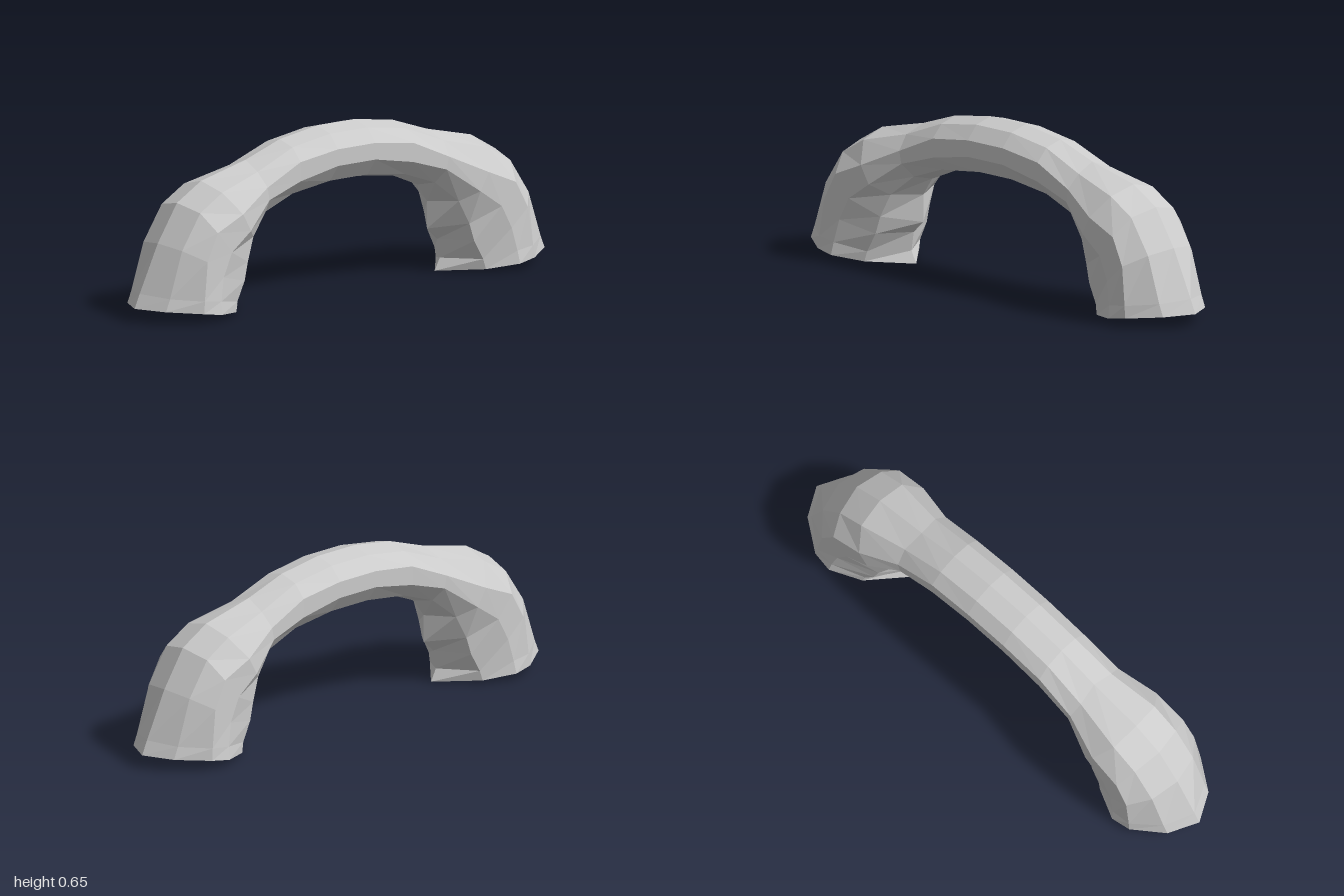
import * as THREE from 'three';

// Half cross-sections from the foot to mid-arch: [x, y, z] from the outer crest round to the inner crest.
const SECTIONS = [
  [[1, .055, 0], [.94, .052, .115], [.82, .042, .2], [.74, .03, .21], [.62, .015, .15], [.49, .002, 0]],
  [[.975, .11, 0], [.92, .1, .115], [.815, .09, .197], [.735, .08, .2], [.61, .055, .145], [.515, .05, 0]],
  [[.885, .295, 0], [.86, .28, .115], [.795, .24, .19], [.715, .17, .19], [.57, .13, .14], [.503, .125, 0]],
  [[.79, .44, 0], [.77, .415, .115], [.74, .345, .185], [.67, .26, .185], [.55, .2, .135], [.452, .172, 0]],
  [[.67, .51, 0], [.66, .48, .114], [.61, .4, .18], [.57, .33, .178], [.51, .29, .12], [.452, .28, 0]],
  [[.45, .562, 0], [.46, .53, .085], [.45, .475, .133], [.44, .425, .133], [.42, .37, .085], [.405, .35, 0]],
  [[.28, .62, 0], [.28, .6, .077], [.28, .55, .125], [.28, .475, .125], [.28, .42, .077], [.28, .403, 0]],
  [[.093, .648, 0], [.093, .628, .077], [.093, .575, .125], [.093, .51, .125], [.093, .445, .077], [.093, .426, 0]],
];

export function createModel() {
  // Close each section across z, then mirror the run of sections across x
  const half = SECTIONS.map((s) => [
    ...s,
    ...s.slice(1, 5).reverse().map(([x, y, z]) => [x, y, -z]),
  ]);
  const rings = [
    ...half,
    ...[...half].reverse().map((r) => r.map(([x, y, z]) => [-x, y, z])),
  ];

  // Skin the sections; the feet stay open
  const n = 10;
  const index = [];
  for (let i = 0; i < rings.length - 1; i++) {
    for (let k = 0; k < n; k++) {
      const a = i * n + k;
      const b = i * n + ((k + 1) % n);
      index.push(a, a + n, b, b, a + n, b + n);
    }
  }
  const geometry = new THREE.BufferGeometry();
  geometry.setAttribute('position', new THREE.Float32BufferAttribute(rings.flat(2), 3));
  geometry.setIndex(index);
  geometry.computeVertexNormals();

  const handle = new THREE.Mesh(
    geometry,
    new THREE.MeshStandardMaterial({ color: 0xcccccc, flatShading: true, side: THREE.DoubleSide }),
  );
  handle.name = 'archedHandle';

  const group = new THREE.Group();
  group.name = 'handle';
  group.add(handle);
  return group;
}
